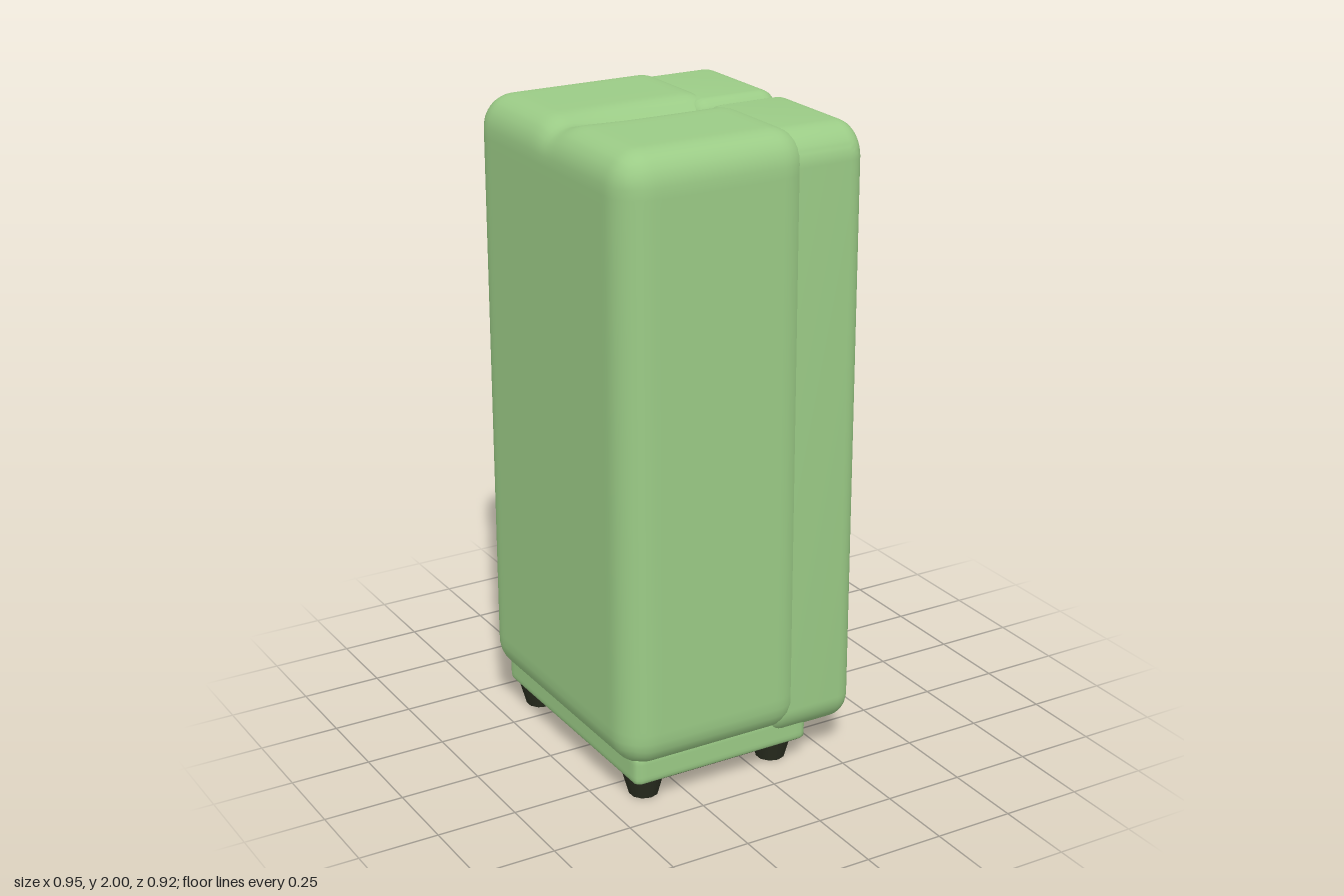
import * as THREE from 'three';
import { mergeVertices, toCreasedNormals } from 'three/addons/utils/BufferGeometryUtils.js';

const material = (name, color) => {
  const m = new THREE.MeshStandardMaterial({ color });
  m.name = name;
  return m;
};

// Rounded rectangle with separate corner radii on its low and high side
function roundRect(Type, x0, x1, y0, y1, ra, rb = ra) {
  const s = new Type();
  s.moveTo(x0 + ra, y0);
  s.lineTo(x1 - rb, y0);
  s.absarc(x1 - rb, y0 + rb, rb, -Math.PI / 2, 0);
  s.lineTo(x1, y1 - rb);
  s.absarc(x1 - rb, y1 - rb, rb, 0, Math.PI / 2);
  s.lineTo(x0 + ra, y1);
  s.absarc(x0 + ra, y1 - ra, ra, Math.PI / 2, Math.PI);
  s.lineTo(x0, y0 + ra);
  s.absarc(x0 + ra, y0 + ra, ra, Math.PI, Math.PI * 1.5);
  return s;
}

// Dense box with rounded edges, optionally reshaped by a rule on each vertex
function softBox(w, h, d, r, segs, rule) {
  let g = new THREE.BoxGeometry(w, h, d, ...segs);
  const p = g.attributes.position;
  const half = new THREE.Vector3(w / 2 - r, h / 2 - r, d / 2 - r);
  const v = new THREE.Vector3(), inner = new THREE.Vector3();
  for (let i = 0; i < p.count; i++) {
    v.fromBufferAttribute(p, i);
    inner.copy(v).clamp(half.clone().negate(), half);
    v.sub(inner).normalize().multiplyScalar(r).add(inner);
    if (rule) rule(v);
    p.setXYZ(i, v.x, v.y, v.z);
  }
  g.deleteAttribute('uv');
  g.deleteAttribute('normal');
  g = mergeVertices(g, 1e-5);
  g.computeVertexNormals();
  return g;
}

export function createModel() {
  const root = new THREE.Group();
  root.name = 'refrigerator';
  const green = material('green enamel', 0x9bcb86);
  const gold = material('gold handle', 0xb3a432);
  const copper = material('copper knob', 0xd98a5c);
  const grey = material('grey interior', 0x8f8983);
  const dark = material('dark feet', 0x2a2e20);

  const add = (name, geo, mat, x = 0, y = 0, z = 0, parent = root) => {
    const m = new THREE.Mesh(geo, mat);
    m.name = name;
    m.position.set(x, y, z);
    parent.add(m);
    return m;
  };

  // Cabinet, with a soft groove along the top that fades toward the back
  add('cabinet', softBox(0.62, 1.87, 0.91, 0.1, [30, 60, 44], (v) => {
    if (v.y > 0) {
      const fade = THREE.MathUtils.smoothstep(v.x, -0.34, 0.1);
      v.y -= (0.012 + 0.045 * fade) * Math.exp(-((v.z / 0.05) ** 2)) * THREE.MathUtils.smoothstep(v.y, 0.8, 0.93);
    }
  }), green, -0.17, 1.065, 0.003);

  // Plinth and its dark underside
  add('plinth', softBox(0.6, 0.1, 0.83, 0.02, [30, 10, 40]), green, -0.13, 0.117, 0);
  add('underside', new THREE.BoxGeometry(0.56, 0.008, 0.79), dark, -0.13, 0.067, 0);

  // Feet
  for (const x of [-0.36, 0.09])
    for (const z of [-0.335, 0.335])
      add('foot', new THREE.CylinderGeometry(0.066, 0.045, 0.075, 10), dark, x, 0.0375, z);

  // Handle path
  const handlePath = new THREE.CurvePath();
  const P = (x, y) => new THREE.Vector3(x, y, 0);
  const line = (a, b) => handlePath.add(new THREE.LineCurve3(a, b));
  const bend = (a, c, b) => handlePath.add(new THREE.QuadraticBezierCurve3(a, c, b));
  line(P(0.27, 1.25), P(0.4, 1.25));
  bend(P(0.4, 1.25), P(0.448, 1.25), P(0.448, 1.2));
  line(P(0.448, 1.2), P(0.448, 0.96));
  bend(P(0.448, 0.96), P(0.448, 0.912), P(0.4, 0.912));
  line(P(0.4, 0.912), P(0.27, 0.912));
  const handleGeo = new THREE.TubeGeometry(handlePath, 60, 0.027, 12, false);

  // Two mirrored doors, each with a window, an inner lining and a handle
  for (const s of [1, -1]) {
    const door = new THREE.Group();
    door.name = s > 0 ? 'leftDoor' : 'rightDoor';
    root.add(door);
    // shape x runs along -z
    const span = (a, b) => (s > 0 ? [-b, -a] : [a, b]);
    const radii = s > 0 ? [0.1, 0.055] : [0.055, 0.1];
    const panel = roundRect(THREE.Shape, ...span(0.004, 0.444), 0.1, 1.992, ...radii);
    panel.holes.push(roundRect(THREE.Path, ...span(0.115, 0.33), 1.38, 1.86, 0.035));
    const panelGeo = toCreasedNormals(new THREE.ExtrudeGeometry(panel, {
      depth: 0.185, bevelEnabled: true, bevelThickness: 0.05, bevelSize: 0.04,
      bevelOffset: -0.04, bevelSegments: 6, curveSegments: 8,
    }), 0.6);
    add('doorPanel', panelGeo, green, 0.08, 0, 0, door).rotation.y = Math.PI / 2;

    // Lining of the window recess
    const ring = roundRect(THREE.Shape, ...span(0.11, 0.335), 1.375, 1.865, 0.038);
    ring.holes.push(roundRect(THREE.Path, ...span(0.119, 0.326), 1.384, 1.856, 0.033));
    const ringGeo = toCreasedNormals(new THREE.ExtrudeGeometry(ring, {
      depth: 0.115, bevelEnabled: false, curveSegments: 8,
    }), 0.6);
    add('windowLining', ringGeo, grey, 0.145, 0, 0, door).rotation.y = Math.PI / 2;
    add('windowBack', new THREE.BoxGeometry(0.008, 0.5, 0.235), grey, 0.148, 1.62, s * 0.2225, door);
    add('shelf', new THREE.BoxGeometry(0.04, 0.008, 0.21), grey, 0.17, s > 0 ? 1.535 : 1.575, s * 0.2225, door);

    add('handle', handleGeo, gold, 0, 0, s > 0 ? 0.086 : -0.074, door);
  }

  // Small round knob on the left handle and a bevelled disc on the right side
  add('handleKnob', new THREE.SphereGeometry(0.035, 8, 6), copper, 0.42, 1.303, 0.115);
  const disc = new THREE.LatheGeometry(
    [[0.058, 0], [0.058, 0.025], [0.044, 0.041], [0, 0.043]].map(([x, y]) => new THREE.Vector2(x, y)), 14);
  add('sideKnob', toCreasedNormals(disc, 0.6), copper, 0.138, 1.697, -0.423).rotation.x = -Math.PI / 2;

  return root;
}
